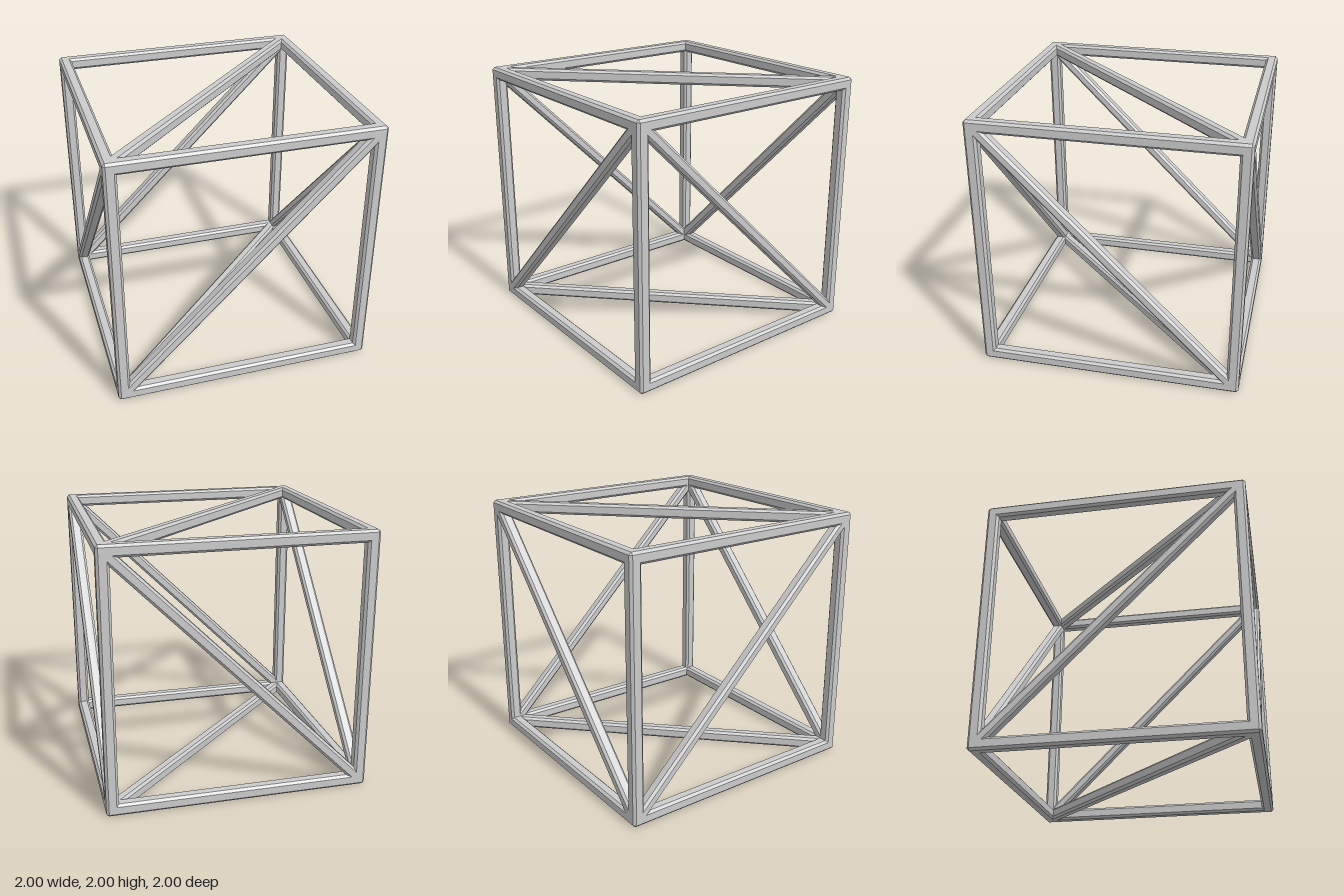
import * as THREE from 'three';

const T = 0.092;          // bar thickness
const C = 0.018;          // chamfer
const N = 1 - T / 2;      // bar centre line, measured from the cube centre
const material = new THREE.MeshStandardMaterial({ color: 0xcccccc, flatShading: true });

// Bar with chamfered edges and ends between two points; normal fixes its roll.
function bar(name, from, to, normal, width = T) {
  const a = new THREE.Vector3(...from), b = new THREE.Vector3(...to);
  const dir = b.clone().sub(a), length = dir.length();
  dir.normalize();
  const w = width / 2, h = T / 2;
  const profile = new THREE.Shape([
    [w - C, -h], [w, -h + C], [w, h - C], [w - C, h],
    [-w + C, h], [-w, h - C], [-w, -h + C], [-w + C, -h],
  ].map(([x, y]) => new THREE.Vector2(x, y)));
  const geometry = new THREE.ExtrudeGeometry(profile, {
    depth: length - 2 * C, steps: 1,
    bevelEnabled: true, bevelSegments: 1, bevelThickness: C, bevelSize: C, bevelOffset: -C,
  });
  geometry.translate(0, 0, C);
  const up = new THREE.Vector3(...normal);
  const side = up.clone().cross(dir);
  geometry.applyMatrix4(new THREE.Matrix4().makeBasis(side, up, dir).setPosition(a));
  const mesh = new THREE.Mesh(geometry, material);
  mesh.name = name;
  return mesh;
}

export function createModel() {
  const model = new THREE.Group();
  model.name = 'bracedCubeFrame';
  const edges = new THREE.Group(), braces = new THREE.Group();
  edges.name = 'edgeBars';
  braces.name = 'diagonalBraces';

  for (const s of [-1, 1]) {
    for (const t of [-1, 1]) {
      // Twelve edges, four along each axis
      edges.add(bar('widthBar', [-1, s * N, t * N], [1, s * N, t * N], [0, 1, 0]));
      edges.add(bar('post', [s * N, -1, t * N], [s * N, 1, t * N], [0, 0, 1]));
      edges.add(bar('depthBar', [s * N, t * N, -1], [s * N, t * N, 1], [0, 1, 0]));
    }
    // One diagonal per face, parallel on opposite faces
    braces.add(bar(s > 0 ? 'frontBrace' : 'backBrace', [-N, -N, s * N], [N, N, s * N], [0, 0, 1], 0.085));
    braces.add(bar(s > 0 ? 'leftBrace' : 'rightBrace', [s * N, -N, -N], [s * N, N, N], [1, 0, 0], 0.078));
    braces.add(bar(s > 0 ? 'topBrace' : 'bottomBrace', [-N, s * N, N], [N, s * N, -N], [0, 1, 0], 0.085));
  }

  model.add(edges, braces);
  edges.position.y = braces.position.y = 1;
  return model;
}
